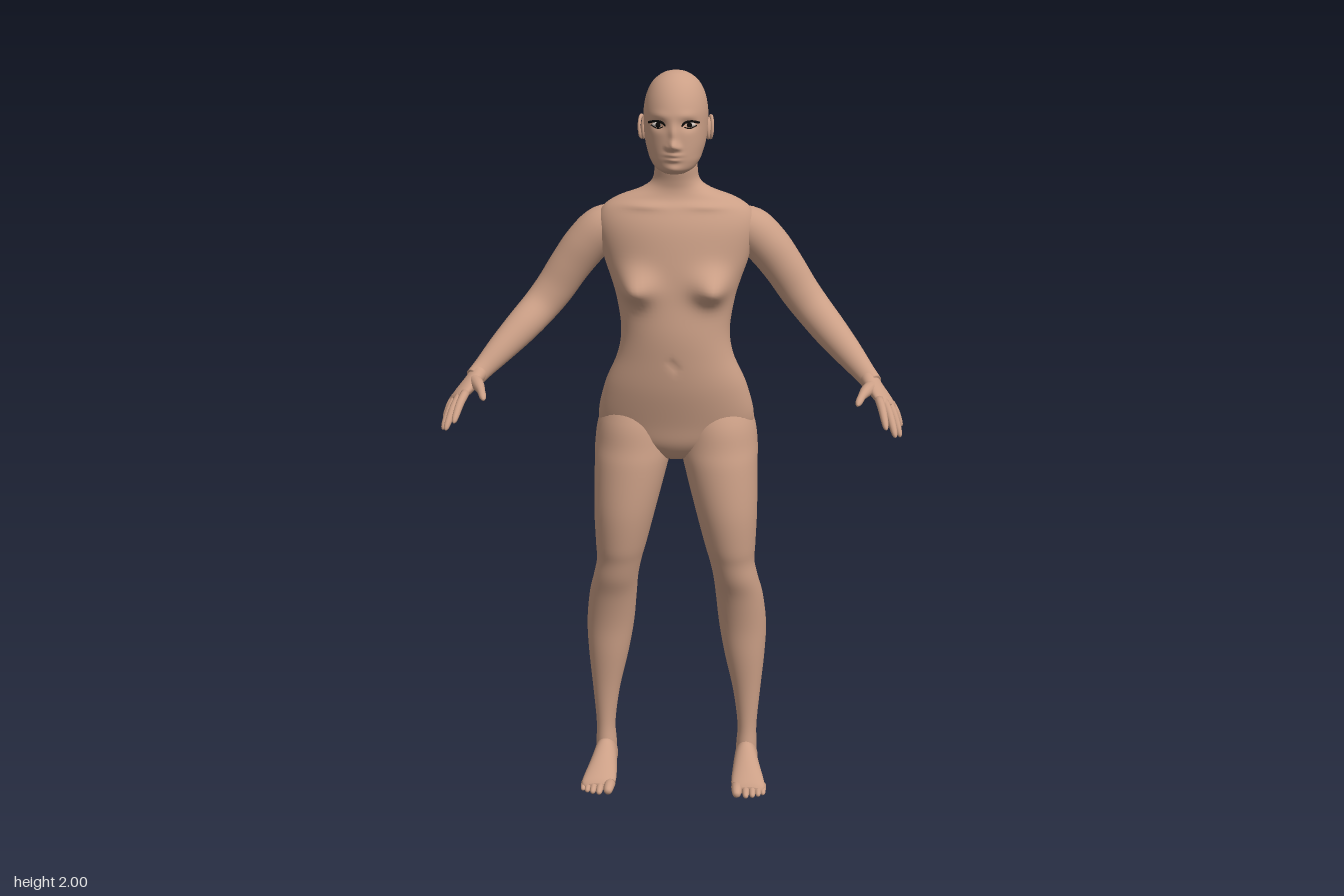
import * as THREE from 'three';

const V = (x, y, z) => new THREE.Vector3(x, y, z);
const skin = new THREE.MeshStandardMaterial({ name: 'skin', color: 0xcb9f86 });
const black = new THREE.MeshStandardMaterial({ name: 'lash black', color: 0x0c0a09 });
const white = new THREE.MeshStandardMaterial({ name: 'eye white', color: 0xcfc4bc });

// Cubic blend from q to r, with neighbours p and s
const blend = (p, q, r, s, t) => {
  const cubic = 3 * (q - r) + s - p;
  const square = 2 * p - 5 * q + 4 * r - s;
  return q + 0.5 * t * (r - p + t * (square + t * cubic));
};

// Smooth loft through elliptical sections [x, y, z, a, b]; a lies along ref.
// A fixed axis keeps the sections parallel; otherwise they follow the path.
function loft(sections, { ref = V(1, 0, 0), axis = null, sides = 32, steps = 5 } = {}) {
  const n = sections.length, rows = [];
  for (let i = 0; i < n - 1; i++) {
    const [p, q, r, s] = [i - 1, i, i + 1, i + 2].map(k => sections[Math.min(n - 1, Math.max(0, k))]);
    for (let k = 0; k < steps; k++) rows.push(q.map((_, c) => blend(p[c], q[c], r[c], s[c], k / steps)));
  }
  rows.push(sections[n - 1]);
  // closing points
  rows.unshift([...rows[0].slice(0, 3), 0, 0]);
  rows.push([...sections[n - 1].slice(0, 3), 0, 0]);
  const pos = [], index = [], m = rows.length;
  rows.forEach(([x, y, z, a, b], i) => {
    const lo = rows[Math.max(0, i - 2)], hi = rows[Math.min(m - 1, i + 2)];
    const t = axis ?? V(hi[0] - lo[0], hi[1] - lo[1], hi[2] - lo[2]).normalize();
    const u = ref.clone().addScaledVector(t, -ref.dot(t)).normalize();
    const v = t.clone().cross(u);
    for (let j = 0; j < sides; j++) {
      const angle = j / sides * Math.PI * 2;
      const pt = V(x, y, z).addScaledVector(u, a * Math.cos(angle)).addScaledVector(v, b * Math.sin(angle));
      pos.push(pt.x, pt.y, pt.z);
      if (i === m - 1) continue;
      const A = i * sides + j, B = i * sides + (j + 1) % sides;
      index.push(A, B, A + sides, B, B + sides, A + sides);
    }
  });
  const g = new THREE.BufferGeometry();
  g.setAttribute('position', new THREE.Float32BufferAttribute(pos, 3));
  g.setIndex(index);
  g.computeVertexNormals();
  return g;
}

// Upright sections given as [y, centreX, halfWidth, frontZ, backZ], from the top down
const upright = (rows, opts) => loft(
  rows.map(([y, cx, rx, f, b]) => [cx, y, (f + b) / 2, rx, (f - b) / 2]),
  { axis: V(0, -1, 0), ...opts });

// Soft swellings and hollows: [x, y, z, reachX, reachY, reachZ, dx, dy, dz], mirrored off the middle
function sculpt(g, bumps) {
  const p = g.attributes.position;
  const all = bumps.flatMap(b => b[0] ? [b, [-b[0], ...b.slice(1, 6), -b[6], b[7], b[8]]] : [b]);
  for (let i = 0; i < p.count; i++) {
    const v = V().fromBufferAttribute(p, i), d = V(0, 0, 0);
    for (const [x, y, z, rx, ry, rz, dx, dy, dz] of all) {
      const q = V((v.x - x) / rx, (v.y - y) / ry, (v.z - z) / rz);
      d.addScaledVector(V(dx, dy, dz), Math.exp(-q.lengthSq()));
    }
    p.setXYZ(i, v.x + d.x, v.y + d.y, v.z + d.z);
  }
  g.computeVertexNormals();
  return g;
}

function mirrored(geometry) {
  const g = geometry.clone().scale(-1, 1, 1), ix = g.index;
  for (let i = 0; i < ix.count; i += 3) {
    const a = ix.getX(i);
    ix.setX(i, ix.getX(i + 1));
    ix.setX(i + 1, a);
  }
  g.computeVertexNormals();
  return g;
}

const ball = (x, y, z, a, b, c, turn = 0) =>
  new THREE.SphereGeometry(1, 20, 14).scale(a, b, c).rotateX(turn).translate(x, y, z);

// Tapered finger or toe, slightly arched
function digit(base, tip, r, arch) {
  const sections = [[0, 1], [0.45, 0.95], [0.8, 0.8], [0.95, 0.55], [1, 0.15]].map(([t, s]) => {
    const p = V(...base).lerp(V(...tip), t);
    return [p.x, p.y + arch * Math.sin(Math.PI * t), p.z, r * s, r * s];
  });
  return loft(sections, { sides: 12, steps: 3 });
}

const lash = (points, r) => new THREE.TubeGeometry(
  new THREE.CatmullRomCurve3(points.map(p => V(...p))), 16, r, 6);

export function createModel() {
  const model = new THREE.Group();
  model.name = 'figure';
  const add = (name, geometry, material = skin) => {
    const mesh = new THREE.Mesh(geometry, material);
    mesh.name = name;
    model.add(mesh);
  };
  const pair = (name, geometry, material) => {
    add('left ' + name, geometry, material);
    add('right ' + name, mirrored(geometry), material);
  };

  // Torso and neck
  add('torso', sculpt(upright([
    [1.80, 0, 0.055, -0.025, -0.13], [1.75, 0, 0.057, -0.022, -0.128], [1.71, 0, 0.064, -0.03, -0.136],
    [1.685, 0, 0.095, -0.032, -0.15], [1.66, 0, 0.16, -0.025, -0.165], [1.63, 0, 0.2, -0.005, -0.18],
    [1.58, 0, 0.213, 0.015, -0.196], [1.50, 0, 0.195, 0.03, -0.195], [1.44, 0, 0.174, 0.037, -0.187],
    [1.39, 0, 0.159, 0.042, -0.172], [1.31, 0, 0.147, 0.05, -0.156], [1.24, 0, 0.157, 0.048, -0.148],
    [1.15, 0, 0.194, 0.038, -0.172], [1.05, 0, 0.212, 0.014, -0.19], [0.99, 0, 0.17, 0.0, -0.18],
    [0.95, 0, 0.07, -0.03, -0.14], [0.938, 0, 0.025, -0.06, -0.11],
  ], { sides: 72, steps: 6 }), [
    [0.105, 1.435, 0.03, 0.05, 0.042, 0.06, 0.008, -0.008, 0.056],  // breasts
    [0.085, 1.06, -0.19, 0.07, 0.085, 0.07, 0, 0, -0.055],          // buttocks
    [0, 1.40, -0.18, 0.025, 0.16, 0.05, 0, 0, 0.013],               // spine
    [0.1, 1.55, -0.18, 0.04, 0.06, 0.05, 0, 0, -0.012],             // shoulder blades
    [0, 1.225, 0.05, 0.01, 0.012, 0.03, 0, 0, -0.008],              // navel
    [0.08, 1.645, -0.03, 0.06, 0.01, 0.04, 0, 0, 0.008],            // collar bones
  ]));

  // Head
  add('head', sculpt(upright([
    [2.0, 0, 0.006, -0.064, -0.076], [1.993, 0, 0.033, -0.032, -0.108], [1.972, 0, 0.06, 0.0, -0.143],
    [1.94, 0, 0.077, 0.025, -0.168], [1.90, 0, 0.085, 0.041, -0.178], [1.86, 0, 0.085, 0.044, -0.177],
    [1.82, 0, 0.081, 0.045, -0.163], [1.79, 0, 0.073, 0.045, -0.138], [1.77, 0, 0.065, 0.043, -0.11],
    [1.75, 0, 0.05, 0.038, -0.08], [1.738, 0, 0.028, 0.024, -0.05],
  ], { sides: 96, steps: 8 }), [
    [0, 1.815, 0.045, 0.012, 0.013, 0.04, 0, 0, 0.022],       // nose tip
    [0, 1.845, 0.045, 0.01, 0.024, 0.04, 0, 0, 0.01],         // nose bridge
    [0.014, 1.81, 0.045, 0.007, 0.007, 0.03, 0, 0, 0.007],    // nostrils
    [0.04, 1.868, 0.03, 0.02, 0.013, 0.04, 0, 0, -0.01],      // eye sockets
    [0.035, 1.893, 0.035, 0.025, 0.01, 0.04, 0, 0, 0.003],    // brow
    [0, 1.791, 0.045, 0.02, 0.006, 0.04, 0, 0, 0.008],        // upper lip
    [0, 1.778, 0.045, 0.018, 0.006, 0.04, 0, 0, 0.007],       // lower lip
    [0, 1.753, 0.04, 0.02, 0.011, 0.04, 0, 0, 0.006],         // chin
  ]));

  // Ears
  pair('ear', ball(0.086, 1.846, -0.074, 0.008, 0.03, 0.017, -0.2));
  pair('ear rim', new THREE.TorusGeometry(0.018, 0.0045, 8, 24)
    .scale(0.85, 1.5, 1).rotateY(Math.PI / 2 + 0.35).rotateX(-0.2).translate(0.092, 1.85, -0.077));

  // Eyes
  pair('eye', ball(0.041, 1.868, 0.019, 0.016, 0.007, 0.009), white);
  pair('iris', ball(0.041, 1.868, 0.026, 0.007, 0.007, 0.003), black);
  pair('upper lash', lash([[0.02, 1.866, 0.034], [0.03, 1.875, 0.033], [0.046, 1.878, 0.028], [0.066, 1.873, 0.014]], 0.0034), black);
  pair('lower lash', lash([[0.024, 1.864, 0.032], [0.042, 1.859, 0.026], [0.06, 1.866, 0.016]], 0.0016), black);

  // Legs
  pair('leg', upright([
    [1.14, 0.1, 0.07, -0.03, -0.14], [1.05, 0.113, 0.1, 0.008, -0.213], [0.98, 0.117, 0.107, 0.02, -0.208],
    [0.92, 0.124, 0.1, 0.03, -0.172], [0.8, 0.14, 0.085, 0.036, -0.15], [0.7, 0.151, 0.07, 0.025, -0.138],
    [0.65, 0.157, 0.062, 0.012, -0.131], [0.6, 0.167, 0.062, 0.0, -0.137], [0.54, 0.177, 0.066, -0.022, -0.155],
    [0.45, 0.186, 0.066, -0.042, -0.169], [0.36, 0.192, 0.056, -0.05, -0.16], [0.25, 0.199, 0.038, -0.062, -0.14],
    [0.15, 0.201, 0.027, -0.066, -0.13], [0.09, 0.2, 0.029, -0.06, -0.134], [0.04, 0.2, 0.03, -0.055, -0.14],
  ], { sides: 40 }));

  // Feet and toes
  pair('foot', loft([
    [0.199, 0.035, -0.146, 0.012, 0.015], [0.199, 0.043, -0.136, 0.025, 0.038], [0.2, 0.05, -0.1, 0.032, 0.049],
    [0.2, 0.054, -0.06, 0.033, 0.053], [0.203, 0.042, -0.02, 0.039, 0.041], [0.208, 0.027, 0.03, 0.046, 0.026],
    [0.211, 0.02, 0.058, 0.045, 0.017], [0.212, 0.015, 0.07, 0.034, 0.01],
  ], { axis: V(0, 0, 1) }));
  const toes = [[0.178, 0.105, 0.0155], [0.203, 0.103, 0.011], [0.221, 0.097, 0.0105], [0.237, 0.088, 0.01], [0.25, 0.076, 0.0095]];
  toes.forEach(([x, z, r], i) =>
    pair('toe ' + (i + 1), digit([x, r + 0.003, z - 0.055], [x + 0.002, r - 0.002, z], r, 0.004)));

  // Arms
  pair('arm', loft([
    [0.13, 1.6, -0.108, 0.045, 0.04], [0.195, 1.573, -0.112, 0.062, 0.06], [0.245, 1.527, -0.112, 0.061, 0.06],
    [0.29, 1.468, -0.11, 0.053, 0.056], [0.332, 1.405, -0.106, 0.047, 0.053], [0.372, 1.355, -0.09, 0.045, 0.05],
    [0.418, 1.307, -0.046, 0.044, 0.046], [0.468, 1.257, 0.002, 0.036, 0.038], [0.51, 1.214, 0.043, 0.027, 0.029],
    [0.532, 1.192, 0.068, 0.025, 0.026],
  ], { ref: V(0, 0, 1) }));

  // Hands and fingers
  pair('palm', loft([
    [0.518, 1.207, 0.052, 0.024, 0.024], [0.535, 1.187, 0.08, 0.031, 0.02], [0.555, 1.166, 0.11, 0.036, 0.017],
    [0.567, 1.154, 0.132, 0.034, 0.013], [0.572, 1.149, 0.14, 0.022, 0.008],
  ], { ref: V(0.035, -0.02, -0.04) }));
  pair('index finger', digit([0.547, 1.168, 0.14], [0.565, 1.11, 0.235], 0.0115, 0.008));
  pair('middle finger', digit([0.562, 1.16, 0.134], [0.59, 1.085, 0.217], 0.0115, 0.008));
  pair('ring finger', digit([0.574, 1.153, 0.12], [0.604, 1.076, 0.177], 0.011, 0.008));
  pair('little finger', digit([0.58, 1.15, 0.104], [0.608, 1.09, 0.124], 0.0095, 0.008));
  pair('thumb', loft([
    [0.53, 1.19, 0.085, 0.018, 0.018], [0.514, 1.186, 0.125, 0.016, 0.016], [0.502, 1.18, 0.16, 0.011, 0.011],
    [0.493, 1.17, 0.19, 0.009, 0.009], [0.49, 1.165, 0.202, 0.003, 0.003],
  ], { sides: 14 }));

  return model;
}
